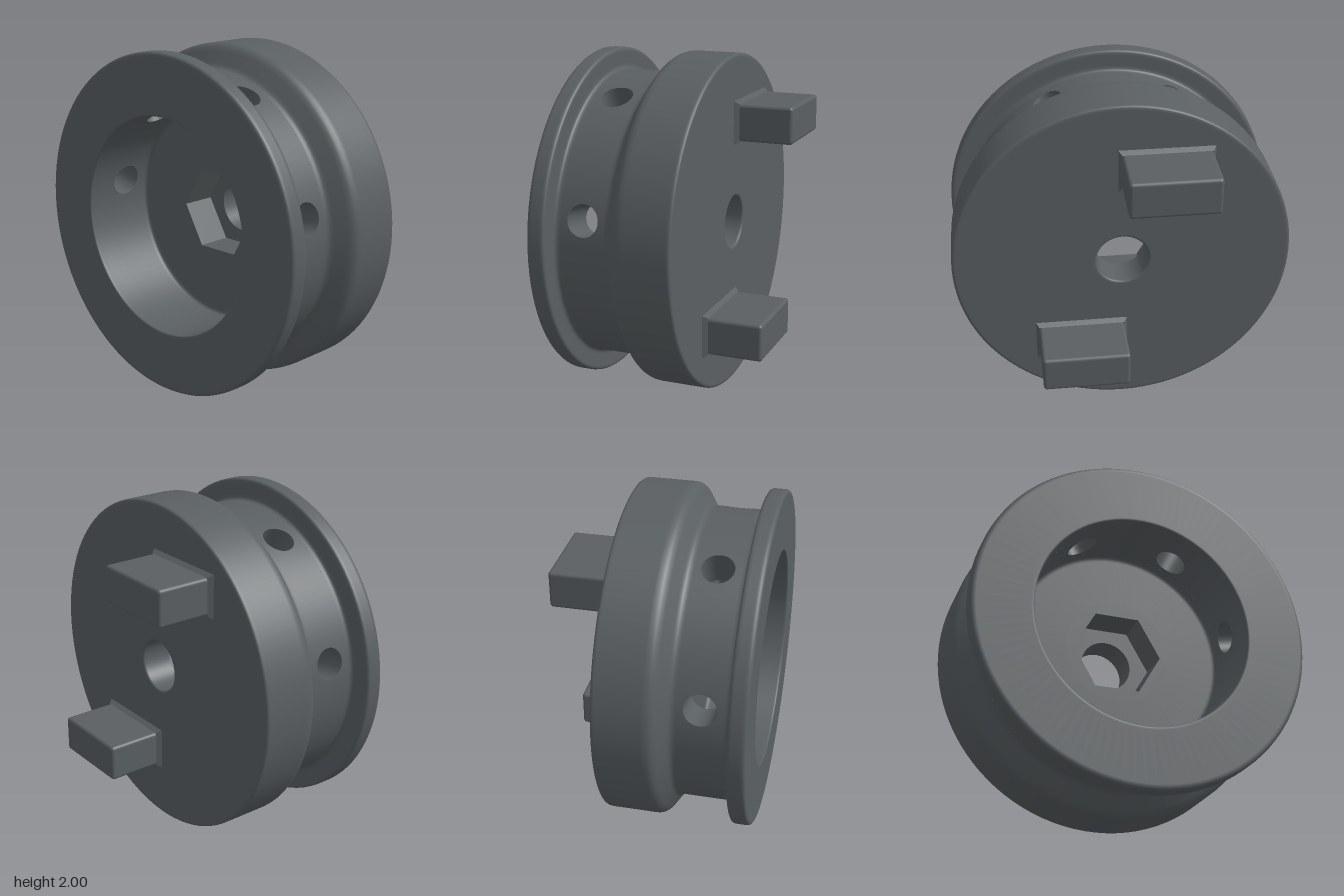
import * as THREE from 'three';
import { ParametricGeometry } from 'three/addons/geometries/ParametricGeometry.js';
import { RoundedBoxGeometry } from 'three/addons/geometries/RoundedBoxGeometry.js';

const OUTER = 0.87, BORE = 0.64;        // groove and bore radii
const Z0 = 0.2, Z1 = 0.45;              // pierced band of the wall
const FLOOR = 0.15, NUT_FLOOR = -0.06, BACK = -0.25;
const HOLE = 0.155, HEX = 0.272;
const PIN = 0.093, HALF = 0.22;         // cross hole radius, half angle of its patch
const PIN_ANGLES = [11, 63.5, 116.5, 169].map(THREE.MathUtils.degToRad);

// Profile of [radius, z, rounding] points with rounded corners
function profile(points) {
  const out = [];
  points.forEach(([r, z, round], i) => {
    const p = new THREE.Vector2(r, z);
    if (!round) { out.push(p); return; }
    const toward = (q, d) => p.clone().add(new THREE.Vector2(q[0], q[1]).sub(p).setLength(d));
    const before = points[i - 1], after = points[i + 1];
    out.push(toward(before, round + 0.008));
    const arc = new THREE.QuadraticBezierCurve(toward(before, round), p, toward(after, round));
    out.push(...arc.getPoints(4), toward(after, round + 0.008));
  });
  return out;
}

// Turned surface about the z axis; angles run counterclockwise from +x
function turned(points, start = 0, length = Math.PI * 2, segments = 96) {
  return new THREE.LatheGeometry(profile(points), segments, start + Math.PI / 2, length).rotateX(Math.PI / 2);
}

// Point on a cylinder about z
function polar(r, a, z, target) {
  return target.set(r * Math.cos(a), r * Math.sin(a), z);
}

// Cylindrical patch around one cross hole, from the round hole to its rectangular border
function pierced(r, angle, flip) {
  return new ParametricGeometry((u, v, target) => {
    const t = (flip ? 1 - u : u) * Math.PI * 2;
    const c = Math.cos(t), s = Math.sin(t), m = Math.max(Math.abs(c), Math.abs(s));
    const a = THREE.MathUtils.lerp(Math.asin(PIN * c / r), HALF * c / m, v);
    const z = THREE.MathUtils.lerp(PIN * s, (Z1 - Z0) / 2 * s / m, v);
    polar(r, angle + a, (Z0 + Z1) / 2 + z, target);
  }, 32, 4);
}

// Inside wall of a cross hole
function pinWall(angle) {
  return new ParametricGeometry((u, v, target) => {
    const t = u * Math.PI * 2, r = THREE.MathUtils.lerp(BORE, OUTER, v);
    polar(r, angle + Math.asin(PIN * Math.cos(t) / r), (Z0 + Z1) / 2 + PIN * Math.sin(t), target);
  }, 32, 2);
}

function circle(r) {
  return new THREE.Path().absarc(0, 0, r, 0, Math.PI * 2, true);
}

function hexPoints() {
  return Array.from({ length: 6 }, (_, i) =>
    new THREE.Vector2(HEX * Math.cos(i * Math.PI / 3), HEX * Math.sin(i * Math.PI / 3)));
}

export function createModel() {
  const model = new THREE.Group();
  const hub = new THREE.Group();
  hub.name = 'hub';
  hub.position.y = 1;
  model.add(hub);

  const grey = new THREE.MeshStandardMaterial({ color: 0x5a5f62, side: THREE.DoubleSide });
  grey.name = 'dark grey';
  const add = (name, geometry) => {
    const mesh = new THREE.Mesh(geometry, grey);
    mesh.name = name;
    hub.add(mesh);
    return mesh;
  };

  // Turned body
  add('rearBody', turned([
    [HOLE, NUT_FLOOR], [HOLE, BACK, 0.015], [1, BACK, 0.02], [1, 0.08, 0.04],
    [OUTER, 0.165, 0.025], [OUTER, Z0]]));
  add('frontFlange', turned([
    [OUTER, Z1], [OUTER, 0.493, 0.028], [1, 0.493, 0.022], [1, 0.6, 0.025],
    [BORE, 0.6, 0.012], [BORE, Z1]]));
  add('boreFloor', turned([[BORE, Z0], [BORE, FLOOR, 0.025], [0.32, FLOOR]]));

  // Pierced wall between groove and bore
  PIN_ANGLES.forEach((angle, i) => {
    add('groovePatch', pierced(OUTER, angle, true));
    add('borePatch', pierced(BORE, angle, false));
    add('crossHole', pinWall(angle));
    const next = PIN_ANGLES[i + 1] ?? PIN_ANGLES[0] + Math.PI * 2;
    const start = angle + HALF, length = next - angle - 2 * HALF;
    const segments = Math.ceil(length / 0.065);
    add('grooveWall', turned([[OUTER, Z0], [OUTER, Z1]], start, length, segments));
    add('boreWall', turned([[BORE, Z1], [BORE, Z0]], start, length, segments));
  });

  // Hexagonal nut pocket
  const rim = new THREE.Shape().absarc(0, 0, 0.32, 0, Math.PI * 2, false);
  rim.holes.push(new THREE.Path(hexPoints().reverse()));
  add('pocketRim', new THREE.ShapeGeometry(rim, 48)).position.z = FLOOR;
  const walls = turned([[HEX, FLOOR], [HEX, NUT_FLOOR]], 0, Math.PI * 2, 6).toNonIndexed();
  walls.computeVertexNormals();
  add('pocketWalls', walls);
  const seat = new THREE.Shape(hexPoints());
  seat.holes.push(circle(HOLE));
  add('pocketFloor', new THREE.ShapeGeometry(seat, 48)).position.z = NUT_FLOOR;

  // Drive lugs on the back, each with a flared foot
  for (const [name, x, y] of [['upperLug', -0.25, 0.6], ['lowerLug', 0.25, -0.55]]) {
    const w = 0.515, h = 0.22;
    add(name, new RoundedBoxGeometry(w, h, 0.4, 3, 0.02)).position.set(x, y, -0.4);
    const foot = new THREE.BoxGeometry(w, h, 0.03);
    const p = foot.attributes.position;
    for (let i = 0; i < p.count; i++) {
      if (p.getZ(i) > 0) p.setXY(i, p.getX(i) + Math.sign(p.getX(i)) * 0.02, p.getY(i) + Math.sign(p.getY(i)) * 0.02);
    }
    foot.computeVertexNormals();
    add(name + 'Foot', foot).position.set(x, y, BACK - 0.013);
  }
  return model;
}
